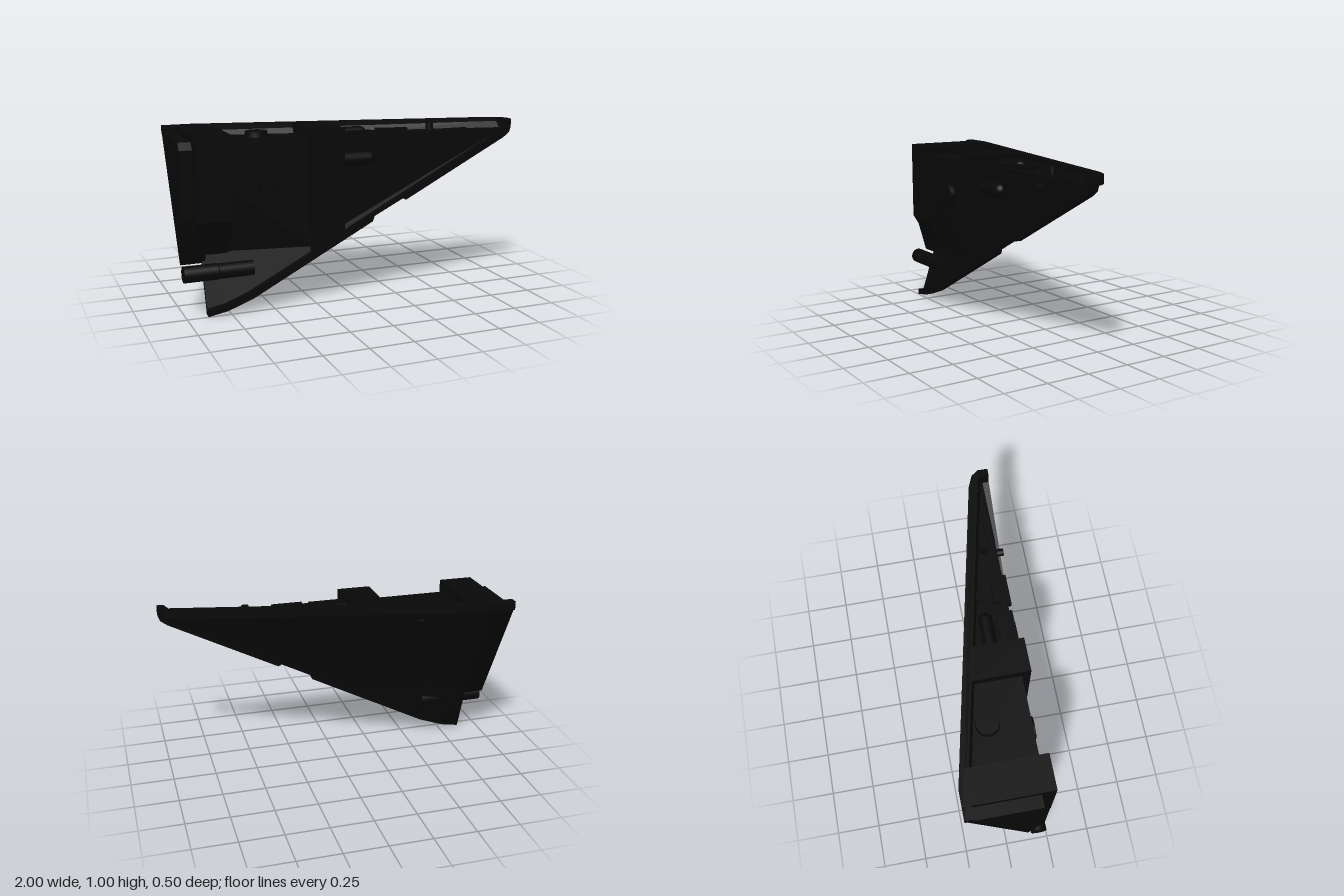
import * as THREE from 'three';
import { ConvexGeometry } from 'three/addons/geometries/ConvexGeometry.js';

const hullBlack = new THREE.MeshStandardMaterial({ color: 0x080808 });
hullBlack.name = 'hullBlack';

// Depth of the sloping outer plating
const slope = (x, y) => Math.min(0.2, -0.054 + 0.2176 * x + 0.5 * (1 - y));
const shapeOf = (pts) => new THREE.Shape(pts.map(([a, b]) => new THREE.Vector2(a, b)));

export function createModel() {
  const ship = new THREE.Group();
  ship.name = 'wedgeHull';

  const add = (name, geometry, parent = ship) => {
    const mesh = new THREE.Mesh(geometry, hullBlack);
    mesh.name = name;
    parent.add(mesh);
    return mesh;
  };

  // Convex block along x; each section point is [y, z], or [y] to lie on the plating
  const block = (name, x0, x1, s0, s1 = s0) => {
    const at = (x, s) => s.map(([y, z]) => new THREE.Vector3(x, y, z ?? slope(x, y) + 0.008));
    return add(name, new ConvexGeometry([...at(x0, s0), ...at(x1, s1)]));
  };

  // Sloping outer plating
  const plate = new THREE.ExtrudeGeometry(shapeOf([
    [-0.88, 0.005], [-0.77, 0.03], [-0.62, 0.1], [0.95, 0.915], [0.98, 0.94], [0.99, 0.99],
    [-0.83, 0.99], [-0.83, 0.87], [-0.88, 0.75], [-0.88, 0.31],
  ]), { depth: 0.02, bevelEnabled: false });
  const p = plate.attributes.position;
  for (let i = 0; i < p.count; i++) p.setZ(i, p.getZ(i) + slope(p.getX(i), p.getY(i)));
  plate.computeVertexNormals();
  add('outerPlating', plate);

  // Lower edge rim, with a shallow notch amidships
  const lowerRim = new THREE.ExtrudeGeometry(shapeOf([
    [-0.88, 0], [-0.77, 0.02], [-0.62, 0.075], [0.1, 0.45], [0.11, 0.48], [0.29, 0.57], [0.31, 0.56],
    [0.95, 0.89], [0.99, 0.92], [1, 0.95], [1, 1], [0.96, 1], [0.95, 0.935], [-0.64, 0.11], [-0.78, 0.055], [-0.88, 0.035],
  ]), { depth: 0.045, bevelEnabled: false });
  lowerRim.translate(0, 0, 0.203);
  add('lowerRim', lowerRim);

  // Ridge rim along the upper edge
  const ridgeRim = new THREE.ExtrudeGeometry(shapeOf([
    [-1, -0.25], [-0.83, -0.25], [0.9, 0.12], [0.97, 0.15], [1, 0.19], [1, 0.245], [0.96, 0.245],
    [0.94, 0.18], [-0.84, -0.2], [-1, -0.2],
  ]), { depth: 0.05, bevelEnabled: false });
  ridgeRim.rotateX(Math.PI / 2).translate(0, 1, 0);
  add('ridgeRim', ridgeRim);

  // Main body: aft bay and tapering bow
  block('aftBay', -0.75, -0.25, [[0.94], [0.94, 0.2], [0.71, 0.2], [0.32]]);
  block('bowBody', -0.1, 0.97,
    [[0.945], [0.945, 0.205], [0.38, 0.205]],
    [[0.945], [0.945, 0.21], [0.925, 0.21]]);

  // Raised frames reaching the corner
  block('sternFrame', -0.93, -0.73, [[1], [1, 0.248], [0.53, 0.248], [0.32, 0.12], [0.32]]);
  block('midFrame', -0.27, -0.075,
    [[1], [1, 0.248], [0.3, 0.248], [0.3]],
    [[1], [1, 0.248], [0.38, 0.248], [0.38]]);

  // Stern cap with chamfered edges
  block('sternCap', -1, -0.86, [
    [0.96, -0.24], [0.96, 0.17], [0.92, 0.2], [0.54, 0.2], [0.37, 0.12], [0.275, 0.125], [0.275, 0.115], [0.85, -0.155],
  ]);

  // Thruster pipe in two lengths
  for (const [x, len, r] of [[-0.905, 0.19, 0.046], [-0.705, 0.2, 0.043]]) {
    const pipe = add('thrusterPipe', new THREE.CylinderGeometry(r, r, len, 20).rotateZ(Math.PI / 2));
    pipe.position.set(x, 0.236, 0.185);
  }

  // Matching fittings on the front and top faces; u is the distance from the corner
  for (const [name, s] of [['frontFittings', -1], ['topFittings', 1]]) {
    const g = new THREE.Group();
    g.name = name;
    if (s < 0) g.position.set(0, 1, 0.2);
    else {
      g.position.set(0, 0.94, 0.25);
      g.rotation.x = -Math.PI / 2;
    }
    ship.add(g);

    const boxes = [
      [-0.08, 0.13, 0.08, 0.125, 0.025], [0.17, 0.35, 0.08, 0.12, 0.03],
      [0.2, 0.26, 0.15, 0.215, 0.02], [0.56, 0.74, 0.075, 0.09, 0.012],
    ];
    for (const [x0, x1, u0, u1, h] of boxes) {
      const b = add('equipmentBox', new THREE.BoxGeometry(x1 - x0, u1 - u0, h + 0.02), g);
      b.position.set((x0 + x1) / 2, s * (u0 + u1) / 2, h / 2 - 0.01);
    }

    // Round turrets
    for (const [x, u, r, h] of [[-0.505, 0.285, 0.075, 0.03], [0.51, 0.115, 0.025, 0.05]]) {
      const t = add('turret', new THREE.CylinderGeometry(r * 0.85, r, h + 0.06, 24).rotateX(Math.PI / 2), g);
      t.position.set(x, s * u, (h - 0.06) / 2);
    }

    // Half-sunk tank running forward from the frame
    const tank = add('tank', new THREE.CapsuleGeometry(0.04, 0.16, 6, 16).rotateZ(Math.PI / 2), g);
    tank.position.set(0.01, s * 0.185, 0);
  }
  return ship;
}
